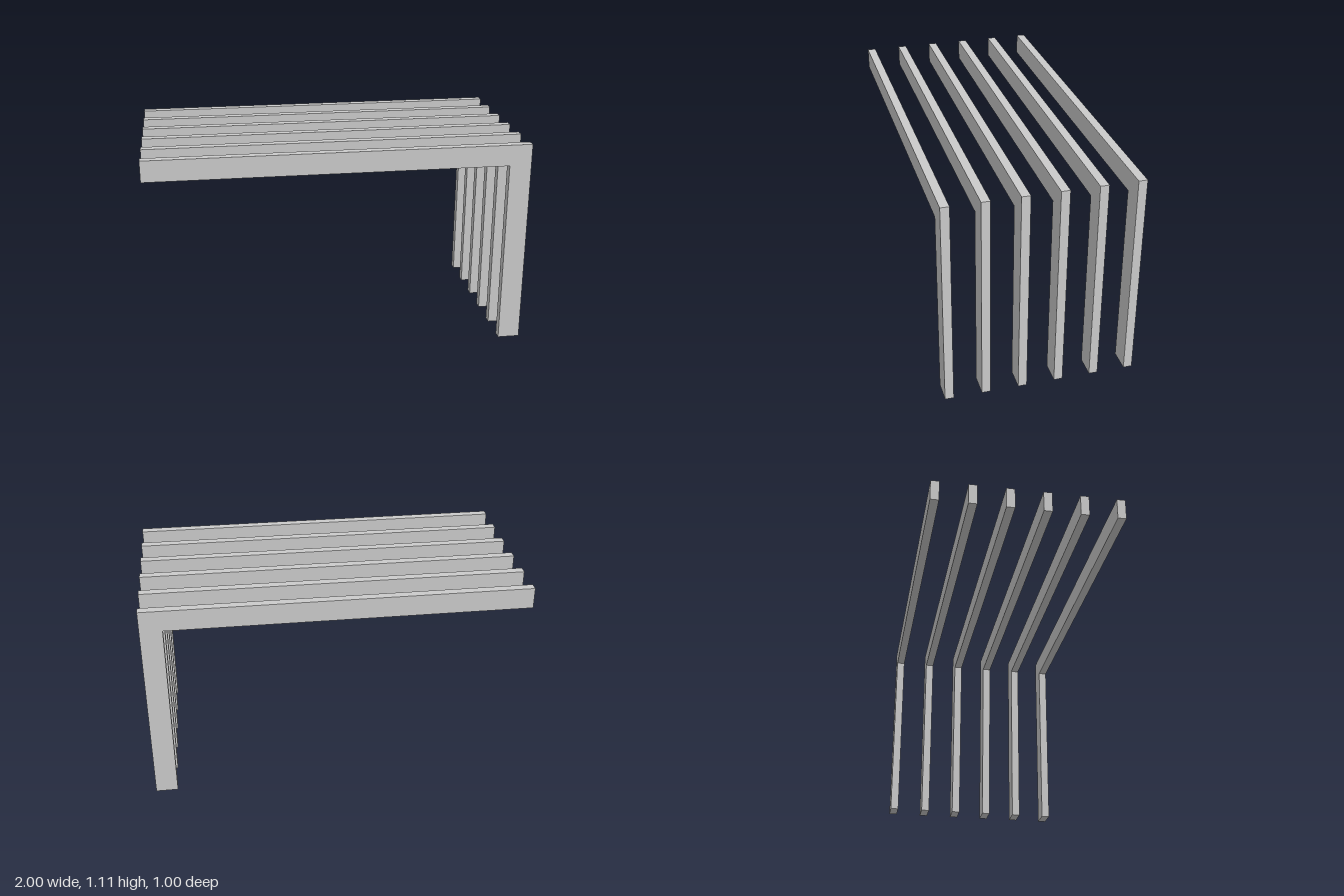
import * as THREE from 'three';

const COUNT = 6, PITCH = 0.1905, THICK = 0.045;
const HEIGHT = 1.105, UNDERSIDE = 0.993, LEG_INNER = 0.884;

export function createModel() {
  const model = new THREE.Group();
  model.name = 'slattedFrame';
  const material = new THREE.MeshStandardMaterial({ color: 0xcccccc });

  // L-shaped slat outline: long top beam with a leg at the +x end
  const outline = new THREE.Shape([
    [-1, UNDERSIDE], [LEG_INNER, UNDERSIDE], [LEG_INNER, 0],
    [1, 0], [1, HEIGHT], [-1, HEIGHT],
  ].map(([x, y]) => new THREE.Vector2(x, y)));
  const geometry = new THREE.ExtrudeGeometry(outline, { depth: THICK, bevelEnabled: false });
  geometry.translate(0, 0, -THICK / 2);

  // Evenly spaced row of slats, front to back
  for (let i = 0; i < COUNT; i++) {
    const slat = new THREE.Mesh(geometry, material);
    slat.name = `slat${i + 1}`;
    slat.position.z = ((COUNT - 1) / 2 - i) * PITCH;
    model.add(slat);
  }
  return model;
}
